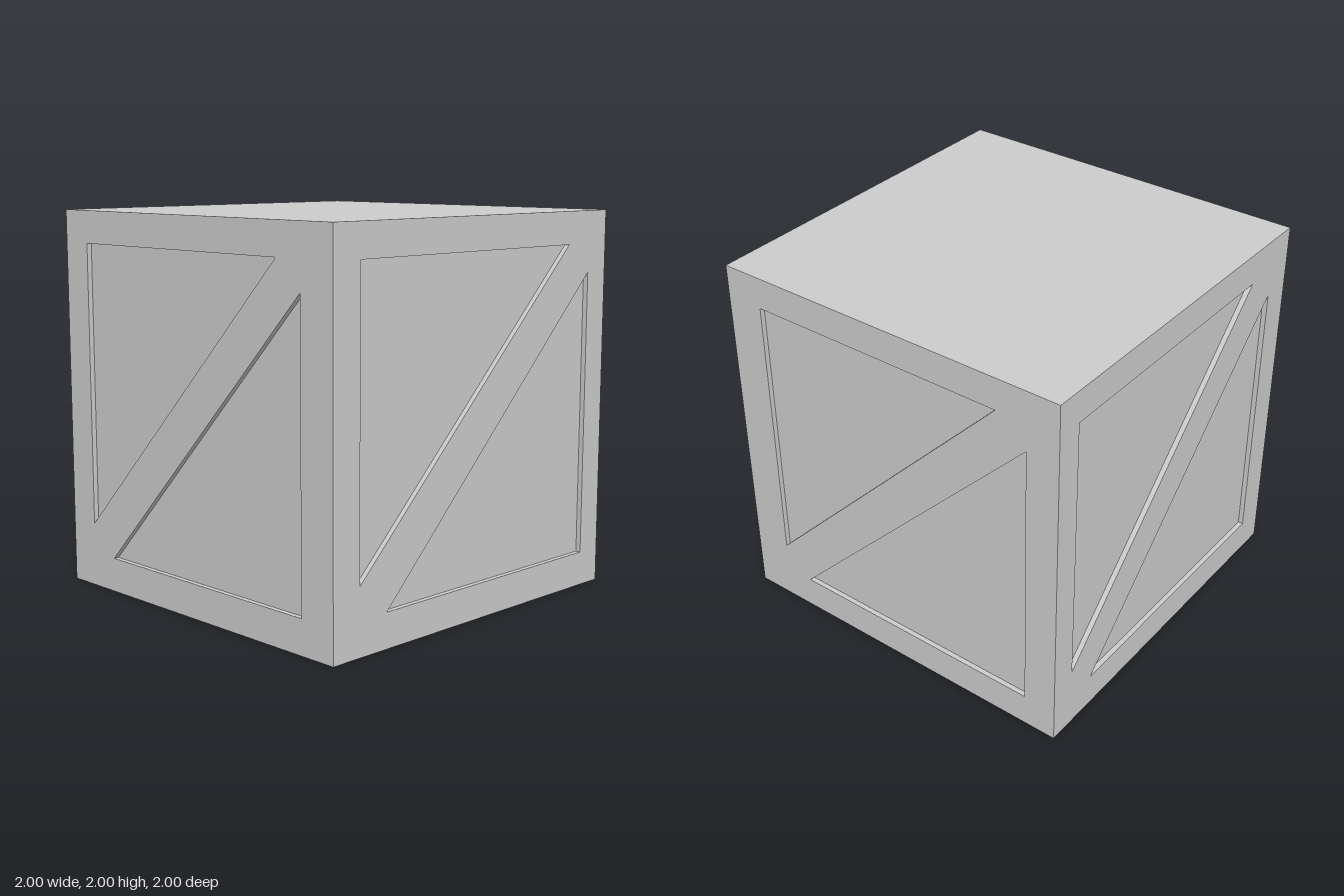
import * as THREE from 'three';
import { mergeGeometries } from 'three/addons/utils/BufferGeometryUtils.js';

const DEPTH = 0.027; // depth of the recessed panels
const material = new THREE.MeshStandardMaterial({ color: 0xcccccc });

const vectors = (points) => points.map(([x, y]) => new THREE.Vector2(x, y));

function addMesh(parent, name, geometry) {
  const mesh = new THREE.Mesh(geometry, material);
  mesh.name = name;
  parent.add(mesh);
  return mesh;
}

// Thin walls running round a counter-clockwise outline, facing inwards
function recessWalls(points) {
  const positions = [];
  points.forEach(([px, py], i) => {
    const [qx, qy] = points[(i + 1) % points.length];
    positions.push(px, py, 0, qx, qy, 0, px, py, -DEPTH);
    positions.push(qx, qy, 0, qx, qy, -DEPTH, px, py, -DEPTH);
  });
  const geometry = new THREE.BufferGeometry();
  geometry.setAttribute('position', new THREE.Float32BufferAttribute(positions, 3));
  geometry.computeVertexNormals();
  return geometry;
}

// One crate side: a frame with a diagonal brace and two sunken triangles
function createSide(name, upperLeft, upperTip, lowerTip, lowerRight) {
  const triangles = [
    [[upperLeft, 0.34], [upperTip, 1.83], [upperLeft, 1.83]],
    [[lowerTip, 0.18], [lowerRight, 0.18], [lowerRight, 1.68]],
  ];
  const side = new THREE.Group();
  side.name = name;

  const frame = new THREE.Shape(vectors([[-1, 0], [1, 0], [1, 2], [-1, 2]]));
  frame.holes = triangles.map((t) => new THREE.Path(vectors(t)));
  addMesh(side, 'bracedFrame', new THREE.ShapeGeometry(frame)).position.z = 1;

  const floors = triangles.map((t) => new THREE.ShapeGeometry(new THREE.Shape(vectors(t))));
  addMesh(side, 'sunkenPanels', mergeGeometries(floors)).position.z = 1 - DEPTH;
  addMesh(side, 'recessWalls', mergeGeometries(triangles.map(recessWalls))).position.z = 1;
  return side;
}

export function createModel() {
  const crate = new THREE.Group();
  crate.name = 'crate';

  // Four sides, turned about the vertical axis
  const sides = [
    ['frontSide', -0.82, 0.63, -0.65, 0.79],
    ['leftSide', -0.83, 0.69, -0.65, 0.855],
    ['backSide', -0.79, 0.65, -0.63, 0.82],
    ['rightSide', -0.855, 0.65, -0.69, 0.835],
  ];
  sides.forEach((spec, i) => {
    const side = createSide(...spec);
    side.rotation.y = (i * Math.PI) / 2;
    crate.add(side);
  });

  // Plain lid and base
  const lid = addMesh(crate, 'lid', new THREE.PlaneGeometry(2, 2));
  lid.rotation.x = -Math.PI / 2;
  lid.position.y = 2;
  const base = addMesh(crate, 'base', new THREE.PlaneGeometry(2, 2));
  base.rotation.x = Math.PI / 2;

  return crate;
}
